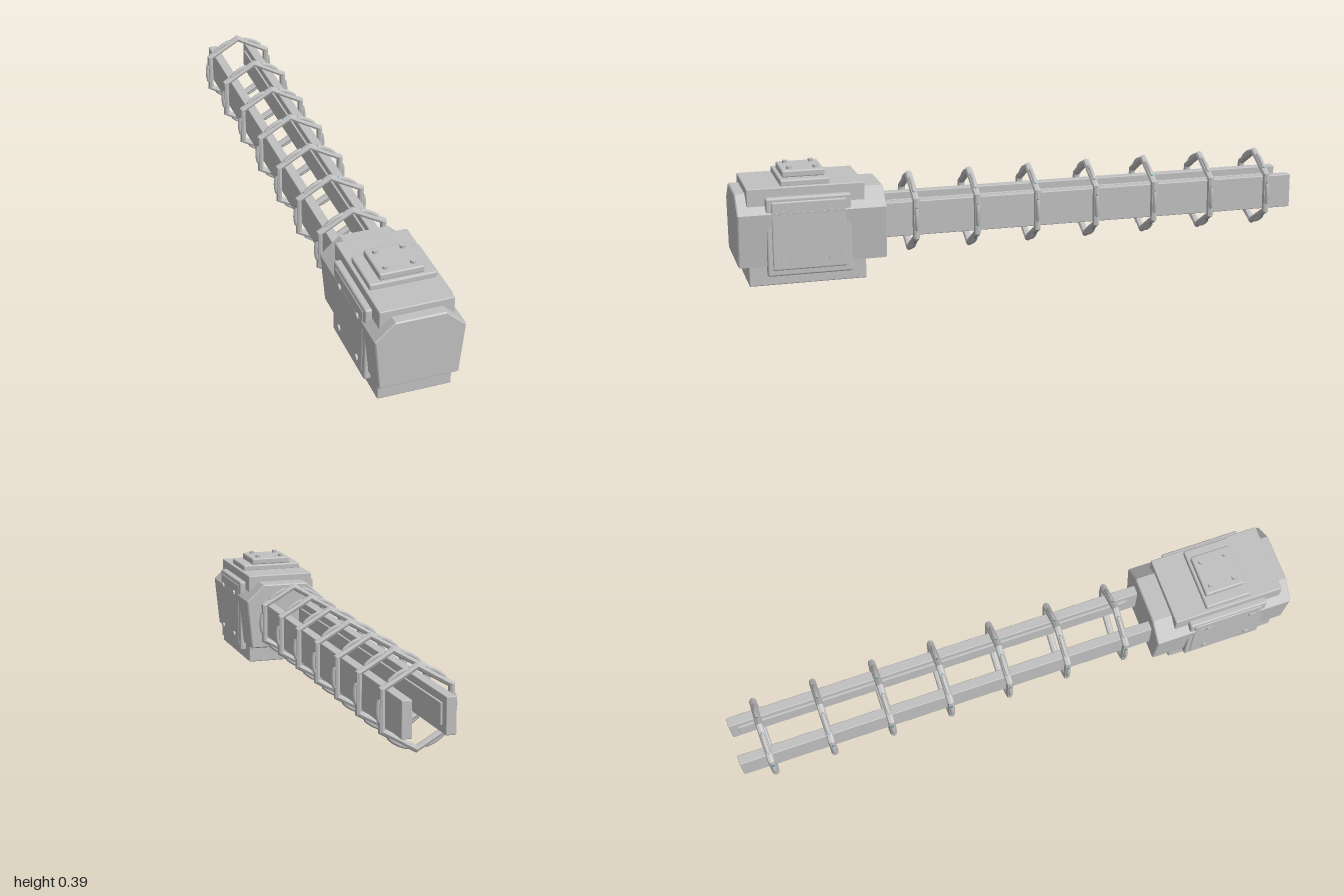
import * as THREE from 'three';
import { RoundedBoxGeometry } from 'three/addons/geometries/RoundedBoxGeometry.js';

export function createModel() {
  const model = new THREE.Group();
  model.name = 'mechanicalArm';
  const grey = new THREE.MeshStandardMaterial({ color: 0xc0c0c0 });
  grey.name = 'metalGrey';
  const teal = new THREE.MeshStandardMaterial({ color: 0x3f94a6 });
  teal.name = 'tealCable';

  function add(name, geometry, material = grey, parent = model) {
    const mesh = new THREE.Mesh(geometry, material);
    mesh.name = name;
    parent.add(mesh);
    return mesh;
  }
  // Softly bevelled block given by its limits on each axis
  function block(name, x0, x1, y0, y1, z0, z1, bevel = 0.003) {
    const g = new RoundedBoxGeometry(x1 - x0, y1 - y0, z1 - z0, 2, bevel);
    g.translate((x0 + x1) / 2, (y0 + y1) / 2, (z0 + z1) / 2);
    return add(name, g);
  }

  // Faceted housing, extruded from front to back with a thin bevel
  const profile = new THREE.Shape([
    [-0.132, 0.069], [0.132, 0.069], [0.15, 0.25], [0.084, 0.31], [-0.084, 0.31], [-0.15, 0.25],
  ].map(([x, y]) => new THREE.Vector2(x, y)));
  const b = 0.004;
  const housing = new THREE.ExtrudeGeometry(profile, {
    depth: 0.5 - 2 * b, bevelThickness: b, bevelSize: b, bevelOffset: -b, bevelSegments: 1,
  });
  housing.translate(0, 0, 0.5 + b);
  add('housing', housing);

  // Core block and stacked cap plates
  block('coreBlock', -0.124, 0.124, 0, 0.334, 0.57, 0.965, 0.004);
  block('lowerCapPlate', -0.112, 0.112, 0.33, 0.354, 0.685, 0.85, 0.006);
  block('upperCapPlate', -0.075, 0.075, 0.352, 0.377, 0.695, 0.838, 0.006);
  for (const x of [-0.046, 0.046]) {
    for (const z of [0.722, 0.81]) {
      add('capBolt', new THREE.CylinderGeometry(0.009, 0.009, 0.014, 12)).position.set(x, 0.379, z);
    }
  }

  for (const s of [-1, 1]) {
    const span = (a, c) => (s > 0 ? [a, c] : [-c, -a]);
    // Side plates with four bolts each
    block('sideBackingPlate', ...span(0.115, 0.146), 0.035, 0.303, 0.62, 0.905, 0.007);
    block('sidePlate', ...span(0.118, 0.1495), 0.055, 0.29, 0.637, 0.888, 0.006);
    for (const y of [0.087, 0.248]) {
      for (const z of [0.69, 0.85]) {
        const bolt = add('sideBolt', new THREE.CylinderGeometry(0.011, 0.011, 0.016, 12));
        bolt.rotation.z = Math.PI / 2;
        bolt.position.set(s * 0.148, y, z);
      }
    }
    // Long rail with a raised strip on its inner face
    block('rail', ...span(0.054, 0.088), 0.125, 0.245, -1, 0.53);
    block('railStrip', ...span(0.047, 0.058), 0.15, 0.22, -0.97, 0.46, 0.002);
  }

  // Hexagonal hoops, point up, each with a thin round cable held by a sleeve on every side
  const hoop = new THREE.TorusGeometry(0.13, 0.0125, 8, 6).toNonIndexed();
  hoop.rotateZ(Math.PI / 6);
  hoop.computeVertexNormals();
  const cable = new THREE.TorusGeometry(0.125, 0.005, 8, 40);
  const sleeveArc = Math.PI / 5.5;
  const sleeve = new THREE.TorusGeometry(0.125, 0.0075, 8, 6, sleeveArc);
  sleeve.rotateZ(-sleeveArc / 2);
  for (let i = 0; i < 7; i++) {
    const ring = new THREE.Group();
    ring.name = 'ring';
    ring.position.set(0, 0.19, 0.393 - i * 0.2145);
    add('hoop', hoop, grey, ring);
    add('cable', cable, teal, ring);
    for (let k = 0; k < 6; k++) {
      add('cableSleeve', sleeve, grey, ring).rotation.z = k * Math.PI / 3;
    }
    model.add(ring);
  }
  return model;
}
